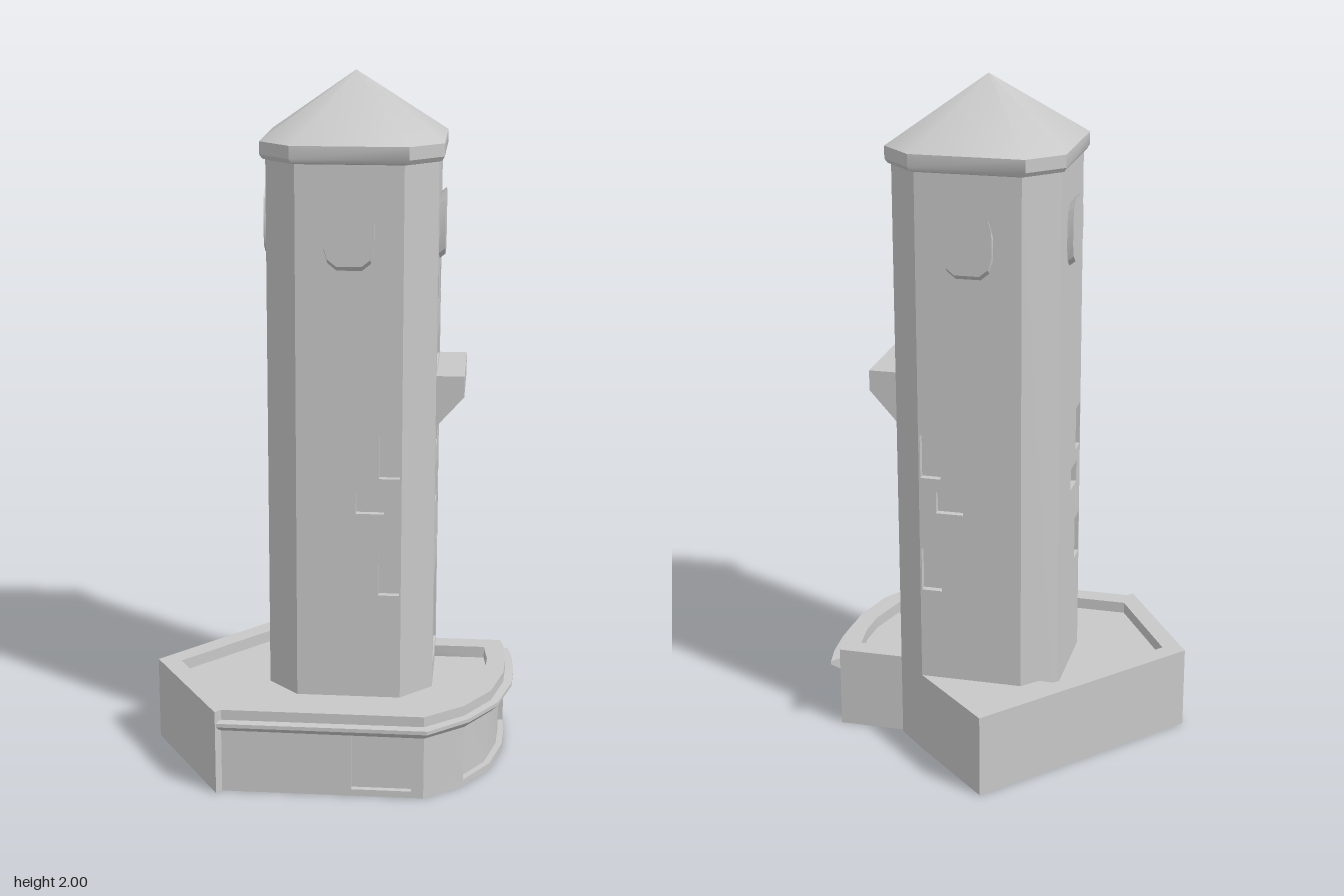
import * as THREE from 'three';
import { toCreasedNormals } from 'three/addons/utils/BufferGeometryUtils.js';

const stone = new THREE.MeshStandardMaterial({ color: 0xc8c8c8 });
stone.name = 'pale grey stone';

function add(parent, name, geometry) {
  const g = geometry.index ? geometry.toNonIndexed() : geometry;
  const mesh = new THREE.Mesh(toCreasedNormals(g, 0.6), stone);
  mesh.name = name;
  parent.add(mesh);
  return mesh;
}

// Upright slab from a plan outline of [x, z] points
function slab(points, y0, y1, hole) {
  const toV = (list) => list.map(([x, z]) => new THREE.Vector2(x, -z));
  const shape = new THREE.Shape(toV(points));
  if (hole) shape.holes.push(new THREE.Path(toV(hole)));
  return new THREE.ExtrudeGeometry(shape, { depth: y1 - y0, bevelEnabled: false })
    .rotateX(-Math.PI / 2).translate(0, y0, 0);
}

// Skin over a row of equal closed cross-sections, capped at both ends
function loft(sections) {
  const n = sections[0].length, index = [];
  for (let i = 0; i < sections.length - 1; i++) {
    for (let j = 0; j < n; j++) {
      const a = i * n + j, b = i * n + (j + 1) % n;
      index.push(a, b, b + n, a, b + n, a + n);
    }
  }
  const e = (sections.length - 1) * n;
  for (let j = 1; j < n - 1; j++) index.push(0, j + 1, j, e, e + j, e + j + 1);
  const g = new THREE.BufferGeometry();
  g.setAttribute('position', new THREE.Float32BufferAttribute(sections.flat(2), 3));
  g.setIndex(index);
  return g;
}

// Square with cut corners: r = half width, c = half width of the flat side
const octagon = (r, c) => [[r, c], [r, -c], [c, -r], [-c, -r], [-r, -c], [-r, c], [-c, r], [c, r]];

const CURVE = [[0.28, 0.437], [0.39, 0.35], [0.465, 0.235], [0.5, 0.1], [0.505, 0], [0.5, -0.1], [0.49, -0.15]];
const BACK = [[0.29, -0.15], [0.2, -0.25], [-0.03, -0.465], [-0.535, 0.09], [-0.31, 0.455], [-0.295, 0.437]];

function makeBase(model) {
  const base = new THREE.Group();
  base.name = 'base';
  model.add(base);
  const outline = [...BACK, ...CURVE];
  add(base, 'plinth', slab(outline, 0, 0.02));
  // storey with a straight and a curved recessed shop window
  const notched = [...BACK,
    [0.075, 0.437], [0.075, 0.42], [0.245, 0.42], [0.245, 0.437],
    CURVE[0], CURVE[1], [0.376, 0.338], [0.448, 0.228], [0.482, 0.097], [0.487, 0], [0.484, -0.07],
    [0.502, -0.07], CURVE[5], CURVE[6]];
  add(base, 'groundStorey', slab(notched, 0.02, 0.185));
  add(base, 'terraceFloor', slab(outline, 0.185, 0.215));
  const inner = [[-0.465, 0.095], [-0.295, 0.377], [0.26, 0.38], [0.345, 0.31], [0.41, 0.21], [0.445, 0.09],
    [0.45, 0], [0.44, -0.09], [0.2, -0.09], [0, -0.205], [-0.19, -0.205]];
  add(base, 'parapet', slab(outline, 0.215, 0.25, inner));
  // flared moulding along the front and round the curve
  const wall = [[-0.3, 0.434], ...CURVE];
  const rim = [[-0.305, 0.462], [0.29, 0.462], [0.405, 0.365], [0.485, 0.245], [0.525, 0.1], [0.53, 0],
    [0.525, -0.1], [0.512, -0.17]];
  add(base, 'moulding', loft(wall.map(([x, z], i) => {
    const [X, Z] = rim[i];
    return [[x, 0.22, z], [X, 0.218, Z], [X, 0.207, Z], [x, 0.185, z]];
  })));
}

// Window openings per side: [left, right, bottom, top] seen facing that side
const THREE_WINDOWS = [[0.085, 0.145, 0.88, 1.01], [0.02, 0.1, 0.775, 0.84], [0.085, 0.145, 0.53, 0.66]];
const SIDES = [
  ['front', 0, THREE_WINDOWS],
  ['left', Math.PI / 2, [
    [-0.11, -0.04, 1.36, 1.435], [0.045, 0.115, 1.36, 1.435], [-0.095, 0.095, 1.17, 1.26],
    [-0.09, -0.01, 0.935, 0.995], [0.01, 0.085, 0.935, 0.995], [-0.09, -0.01, 0.765, 0.88],
    [0.09, 0.147, 0.785, 0.915], [0.09, 0.147, 0.59, 0.725], [-0.11, 0.11, 0.27, 0.535]]],
  ['back', Math.PI, THREE_WINDOWS.map(([a, b, c, d]) => [-b, -a, c, d])],
  ['right', -Math.PI / 2, THREE_WINDOWS],
];

const rect = (a, b, c, d) => [[a, c], [b, c], [b, d], [a, d]].map((p) => new THREE.Vector2(...p));

function makeClock() {
  const q = [[0.07, 0.035], [0.06, 0.07], [0.035, 0.09]];
  const r = [...q].reverse();
  const pts = [...q, ...r.map(([x, y]) => [-x, y]), ...q.map(([x, y]) => [-x, -y]), ...r.map(([x, y]) => [x, -y])];
  const g = new THREE.ExtrudeGeometry(new THREE.Shape(pts.map((p) => new THREE.Vector2(...p))),
    { depth: 0.022, bevelEnabled: false });
  // the rim leans down toward the wall
  const p = g.attributes.position;
  for (let i = 0; i < p.count; i++) if (p.getZ(i) < 0.01) p.setY(i, p.getY(i) - 0.018);
  return g.translate(0, 1.58, 0.235);
}

function makeTower(model) {
  const tower = new THREE.Group();
  tower.name = 'tower';
  tower.position.set(0.05, 0, -0.01);
  model.add(tower);

  // core with full-depth cut corners; the four wall plates fill the rest
  const core = [];
  for (let k = 0; k < 4; k++) {
    for (const [x, z] of [[0.22, -0.15], [0.24, -0.15], [0.15, -0.24], [0.15, -0.22]]) {
      const c = Math.round(Math.cos(k * Math.PI / 2)), s = Math.round(Math.sin(k * Math.PI / 2));
      core.push([x * c + z * s, -x * s + z * c]);
    }
  }
  add(tower, 'towerCore', slab(core, 0, 1.78));

  for (const [name, angle, windows] of SIDES) {
    const side = new THREE.Group();
    side.name = name + 'Side';
    side.rotation.y = angle;
    tower.add(side);
    const shape = new THREE.Shape(rect(-0.15, 0.15, 0, 1.78));
    for (const w of windows) shape.holes.push(new THREE.Path(rect(...w)));
    add(side, name + 'Wall', new THREE.ExtrudeGeometry(shape, { depth: 0.02, bevelEnabled: false })
      .translate(0, 0, 0.22));
    add(side, name + 'Clock', makeClock());
  }

  // eaves band and low pointed roof
  const ring = (r, c, y) => octagon(r, c).map(([x, z]) => [x, y, z]);
  add(tower, 'eaves', loft([ring(0.235, 0.147, 1.765), ring(0.248, 0.158, 1.77), ring(0.255, 0.163, 1.782),
    ring(0.255, 0.163, 1.818)]));
  add(tower, 'roof', loft([ring(0.255, 0.163, 1.818), ring(0.001, 0.0006, 2)]));

  // balcony with a sloping underside
  const profile = [[0.23, 1.16], [0.32, 1.16], [0.32, 1.1], [0.24, 1.01], [0.23, 1.01]];
  add(tower, 'balcony', new THREE.ExtrudeGeometry(
    new THREE.Shape(profile.map((p) => new THREE.Vector2(...p))), { depth: 0.295, bevelEnabled: false })
    .translate(0, 0, -0.148));
}

export function createModel() {
  const model = new THREE.Group();
  model.name = 'clockTower';
  makeBase(model);
  makeTower(model);
  return model;
}
